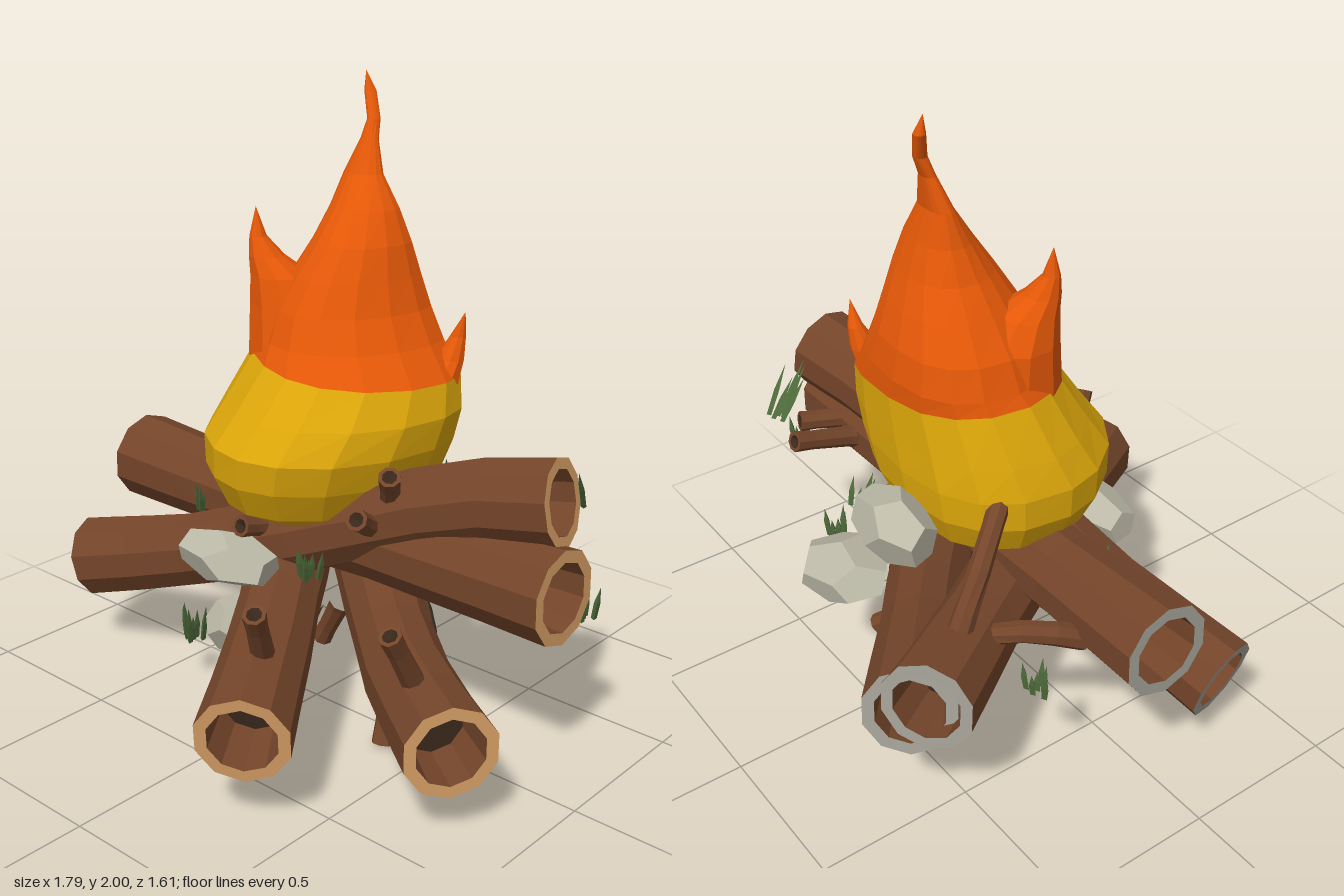
import * as THREE from 'three';

const V = (a) => new THREE.Vector3(...a);
const mat = (name, color) => {
  const m = new THREE.MeshStandardMaterial({ color });
  m.name = name;
  return m;
};

// Skin a list of rings (counter-clockwise about the direction of travel) with flat faces
function loft(rings) {
  const pos = [];
  for (let i = 0; i < rings.length - 1; i++) {
    const p = rings[i], q = rings[i + 1], n = p.length;
    for (let j = 0; j < n; j++) {
      const k = (j + 1) % n;
      for (const v of [p[j], p[k], q[k], p[j], q[k], q[j]]) pos.push(v.x, v.y, v.z);
    }
  }
  const g = new THREE.BufferGeometry();
  g.setAttribute('position', new THREE.Float32BufferAttribute(pos, 3));
  g.computeVertexNormals();
  return g;
}

// Round ring at c, square to direction t
function ring(c, t, r, sides) {
  const up = Math.abs(t.y) > 0.9 ? V([0, 0, 1]) : V([0, 1, 0]);
  const n = new THREE.Vector3().crossVectors(t, up).normalize();
  const b = new THREE.Vector3().crossVectors(t, n).normalize();
  return Array.from({ length: sides }, (_, j) => {
    const a = ((j + 0.5) / sides) * Math.PI * 2;
    return c.clone().addScaledVector(n, r * Math.cos(a)).addScaledVector(b, r * Math.sin(a));
  });
}

export function createModel() {
  const root = new THREE.Group();
  root.name = 'campfire';
  const bark = mat('bark brown', 0x74452a);
  const tan = mat('cut wood tan', 0xd8a066);
  const grey = mat('weathered wood grey', 0xa3a196);
  const hollow = mat('hollow brown', 0x3a281b);
  const dark = mat('knot dark', 0x2e2820);
  const yellow = mat('flame yellow', 0xdea80a);
  const orange = mat('flame orange', 0xea5a08);
  const stoneMat = mat('stone grey', 0xbbb8a6);
  const green = mat('grass green', 0x4c6839);

  const add = (parent, name, geo, material) => {
    const m = new THREE.Mesh(geo, material);
    m.name = name;
    parent.add(m);
    return m;
  };

  // Hollow logs: bark, cut rims and recessed ends
  const logs = [
    ['crossLog', 0.136, [[-0.88, 0.615, -0.07], [-0.35, 0.6, -0.07], [0.3, 0.605, -0.07], [0.88, 0.615, -0.07]]],
    ['leaningLog', 0.127, [[-0.84, 0.325, 0.21], [-0.4, 0.45, 0.11], [0.2, 0.68, -0.02], [0.5, 0.8, -0.1], [0.8, 0.855, -0.165]]],
    ['frontLog', 0.132, [[-0.59, 0.53, -0.69], [-0.15, 0.45, -0.04], [0.12, 0.37, 0.34], [0.37, 0.3, 0.715]]],
    ['sideLog', 0.132, [[-0.53, 0.475, -0.705], [0.05, 0.36, -0.25], [0.45, 0.29, 0.1], [0.82, 0.285, 0.36]]],
  ];
  for (const [name, r, pts] of logs) {
    const g = new THREE.Group();
    g.name = name;
    root.add(g);
    const curve = new THREE.CatmullRomCurve3(pts.map(V));
    const at = (t, rad) => ring(curve.getPointAt(t), curve.getTangentAt(t), rad, 10);
    const outer = [];
    for (let i = 0; i <= 8; i++) {
      const flare = i === 0 || i === 8 ? 1.08 : 1 + 0.035 * Math.sin(i * 2.1);
      outer.push(at(i / 8, r * flare));
    }
    add(g, 'bark', loft(outer), bark);
    const rim = r * 0.8, d = 0.1;
    add(g, 'rightRim', loft([outer[8], at(1, rim)]), tan);
    add(g, 'leftRim', loft([at(0, rim), outer[0]]), grey);
    add(g, 'rightHollow', loft([at(1, rim), at(1 - d, rim * 0.92)]), bark);
    add(g, 'leftHollow', loft([at(d, rim * 0.92), at(0, rim)]), bark);
    add(g, 'rightHollowFloor', loft([at(1 - d, rim * 0.92), at(1 - d, 0)]), hollow);
    add(g, 'leftHollowFloor', loft([at(d, 0), at(d, rim * 0.92)]), hollow);
  }

  // Dark knot on the back of the side log
  const knot = add(root, 'knotHole', new THREE.IcosahedronGeometry(1, 1), dark);
  const along = V([0.77, -0.12, 0.62]).normalize();
  const out = V([0.6, -0.3, -0.74]).normalize();
  const side = new THREE.Vector3().crossVectors(out, along).normalize();
  out.crossVectors(along, side);
  knot.quaternion.setFromRotationMatrix(new THREE.Matrix4().makeBasis(along, side, out));
  knot.position.set(0.15, 0.335, -0.165).addScaledVector(out, 0.122);
  knot.scale.set(0.23, 0.058, 0.02);

  // Branch stubs: base, tip, and an optional bend between
  const twigs = [
    [[0.35, 0.22, 0.04], [0.365, 0.015, 0.1]],
    [[0.62, 0.38, 0.27], [0.63, 0.59, 0.4]],
    [[0.25, 0.42, 0.5], [0.32, 0.63, 0.61]],
    [[0.29, 0.74, -0.02], [0.36, 0.89, 0.08]],
    [[0.26, 0.68, 0.02], [0.31, 0.77, 0.17]],
    [[-0.1, 0.6, 0.05], [-0.1, 0.655, 0.24]],
    [[0.57, 0.62, -0.2], [0.56, 0.69, -0.43]],
    [[0.65, 0.64, -0.15], [0.7, 0.66, -0.33]],
    [[-0.48, 0.57, -0.52], [-0.3, 0.92, -0.2], [-0.44, 0.77, -0.4]],
    [[-0.64, 0.55, -0.17], [-0.42, 0.52, -0.42], [-0.57, 0.61, -0.34]],
    [[0, 0.3, -0.12], [-0.1, 0.13, -0.14]],
    [[0.04, 0.28, -0.28], [0.17, 0.15, -0.38]],
    [[-0.08, 0.3, -0.08], [-0.17, 0.15, -0.13]],
  ];
  for (const [a, b, mid] of twigs) {
    const c = new THREE.CatmullRomCurve3(mid ? [V(a), V(mid), V(b)] : [V(a), V(b)]);
    const at = (t, r) => ring(c.getPoint(t), c.getTangent(t), r, 8);
    const rings = [at(0, 0.04), at(0.25, 0.036), at(0.5, 0.034), at(0.75, 0.032), at(1, 0.035), at(1, 0.023)];
    add(root, 'branchStub', loft(rings), bark);
    add(root, 'branchStubEnd', loft([at(1, 0.023), at(0.94, 0)]), hollow);
  }

  // Flame body sections: y, xMin, xMax, zMin, zMax
  const sections = [
    [0.63, -0.05, -0.05, -0.05, -0.05], [0.645, -0.22, 0.14, -0.25, 0.13], [0.7, -0.37, 0.23, -0.35, 0.24],
    [0.8, -0.42, 0.29, -0.39, 0.29], [0.9, -0.425, 0.33, -0.4, 0.3], [1.0, -0.39, 0.35, -0.4, 0.23],
    [1.13, -0.32, 0.33, -0.4, 0.14],
    [1.2, -0.3, 0.255, -0.4, 0.1], [1.3, -0.27, 0.205, -0.385, 0.06], [1.4, -0.21, 0.175, -0.355, 0.01],
    [1.5, -0.15, 0.15, -0.32, -0.05], [1.6, -0.11, 0.11, -0.29, -0.12], [1.7, -0.085, 0.05, -0.265, -0.19],
    [1.8, -0.045, 0.015, -0.275, -0.235], [1.86, -0.037, 0, -0.3, -0.26], [1.94, -0.07, -0.035, -0.32, -0.285],
    [2.0, -0.065, -0.065, -0.3, -0.3],
  ];
  // Squarer at the back, pointed in front, with the right flank swept back
  const flameRings = sections.map(([y, x0, x1, z0, z1], i) =>
    Array.from({ length: 16 }, (_, j) => {
      const a = (j / 16) * Math.PI * 2, c = Math.cos(a), s = Math.sin(a);
      const e = s > 0.01 ? (c > 0 ? 0.72 : 0.85) : 1.1;
      const tilt = i === 6 ? -0.03 * c : 0;
      const sweep = 0.35 * Math.max(0, c) * (1 - Math.abs(s));
      return V([
        (x0 + x1) / 2 + ((x1 - x0) / 2) * Math.sign(c) * Math.abs(c) ** e,
        y + tilt,
        (z0 + z1) / 2 - ((z1 - z0) / 2) * (Math.sign(s) * Math.abs(s) ** e + sweep),
      ]);
    }));
  add(root, 'flameBase', loft(flameRings.slice(0, 7)), yellow);
  add(root, 'flameTop', loft(flameRings.slice(6)), orange);

  // Side tongues of flame: x, y, z, radius
  const tongues = [
    ['leftTongue', [[-0.15, 1.14, -0.07, 0.15], [-0.17, 1.3, -0.07, 0.13], [-0.19, 1.39, -0.045, 0.095],
      [-0.22, 1.45, -0.015, 0.056], [-0.242, 1.51, 0, 0.027], [-0.25, 1.6, 0, 0]]],
    ['rightTongue', [[0.25, 1.08, -0.27, 0.075], [0.275, 1.15, -0.31, 0.046], [0.29, 1.22, -0.33, 0.025], [0.315, 1.3, -0.33, 0]]],
  ];
  for (const [name, pts] of tongues) {
    add(root, name, loft(pts.map(([x, y, z, r]) => ring(V([x, y, z]), V([0, 1, 0]), r, 10))), orange);
  }

  // Stones: centre, half size, turn
  const stones = [
    [[-0.135, 0.545, 0.26], [0.2, 0.08, 0.1], 0.1],
    [[-0.115, 0.325, 0.26], [0.085, 0.09, 0.09], 0.6],
    [[-0.115, 0.775, -0.475], [0.165, 0.105, 0.1], 0.2],
    [[0.065, 0.535, -0.545], [0.16, 0.075, 0.14], -0.2],
  ];
  for (const [c, s, turn] of stones) {
    const g = new THREE.DodecahedronGeometry(1.06, 0).rotateZ(0.4 + turn).rotateY(turn);
    g.scale(...s);
    add(root, 'stone', g, stoneMat).position.set(...c);
  }

  // Grass tufts: x, y, z, height, lean in x and z; tapering three-sided blades
  const tufts = [
    [0.67, 0.73, -0.42, 0.16, 0.02, 0.1], [0.14, 0.67, -0.43, 0.1, 0, 0.03], [-0.47, 0.55, 0.05, 0.1, 0.01, 0.01],
    [0.11, 0.52, 0.17, 0.1, 0, 0], [0.83, 0.47, -0.25, 0.11, 0, 0], [-0.36, 0.17, 0.22, 0.14, 0.01, 0.01],
    [0.29, 0.46, -0.43, 0.11, 0, 0], [-0.65, 0.44, -0.34, 0.1, 0, 0],
  ];
  for (const [x, y, z, h, lx, lz] of tufts) {
    const tuft = new THREE.Group();
    tuft.name = 'grassTuft';
    root.add(tuft);
    for (let i = 0; i < 6; i++) {
      const a = i * 2.4, r = 0.008 + 0.006 * i;
      const top = h * (0.65 + 0.35 * Math.abs(Math.sin(i * 1.7)));
      const at = (t, w) => ring(
        V([x + r * (1 + t * 0.4) * Math.cos(a) + lx * t, y + top * t, z + r * (1 + t * 0.4) * Math.sin(a) + lz * t]),
        V([0, 1, 0]), w, 3);
      add(tuft, 'blade', loft([at(0, 0), at(0, 0.01), at(0.5, 0.011), at(1, 0)]), green);
    }
  }
  return root;
}
